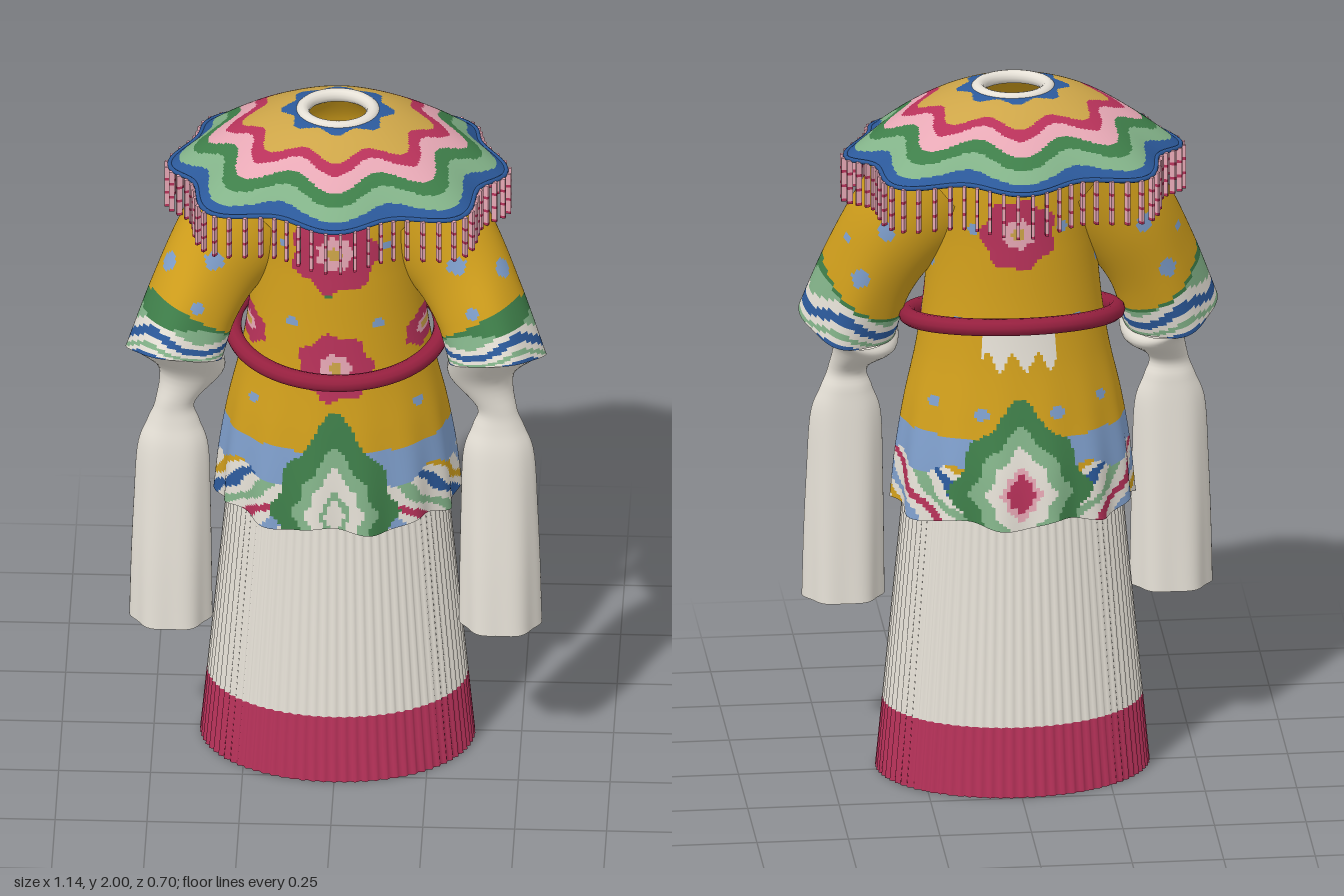
import * as THREE from 'three';
import { mergeGeometries } from 'three/addons/utils/BufferGeometryUtils.js';

const TAU = Math.PI * 2;
const { cos, sin, abs, hypot, atan2, floor, min, max } = Math;

// Catmull-Rom interpolation through evenly spaced rows of numbers, t in 0..1
function sample(rows, t) {
  const n = rows.length - 1, i = min(floor(t * n), n - 1), f = t * n - i;
  const [a, b, c, d] = [max(i - 1, 0), i, i + 1, min(i + 2, n)].map((k) => rows[k]);
  return b.map((_, k) => b[k] + 0.5 * f * (c[k] - a[k]
    + f * (2 * a[k] - 5 * b[k] + 4 * c[k] - d[k] + f * (3 * (b[k] - c[k]) + d[k] - a[k]))));
}

// Colour name of the band that value t falls in; bands = [[upper limit, colour], ...]
const band = (bands, t) => bands.find(([limit]) => t < limit)?.[1];

export function createModel() {
  const group = new THREE.Group();
  const palette = {
    mustard: 0xd2a01c, ochre: 0xcda548, crimson: 0xb8325a, cream: 0xe6e1d7, blue: 0x2c5a9c,
    lightBlue: 0x7f9fcc, darkGreen: 0x3f7f4a, lightGreen: 0x84b48a, pink: 0xe8a9b6, wine: 0x96203f,
  };
  const names = Object.keys(palette);
  const mats = names.map((name) => {
    const m = new THREE.MeshStandardMaterial({ color: palette[name], side: THREE.DoubleSide });
    m.name = name;
    return m;
  });
  const mat = (name) => mats[names.indexOf(name)];

  function add(name, geometry, material) {
    const mesh = new THREE.Mesh(geometry, material);
    mesh.name = name;
    group.add(mesh);
    return mesh;
  }

  // Closed-around cloth: point(angle, v) runs from the top (v=0) to the hem (v=1),
  // colour(centre, angle, v) names the colour of each small face.
  function cloth(name, nu, nv, point, colour) {
    const pos = [], faces = names.map(() => []), index = [];
    for (let j = 0; j <= nv; j++)
      for (let i = 0; i < nu; i++) pos.push(...point((i / nu) * TAU, j / nv));
    for (let j = 0; j < nv; j++)
      for (let i = 0; i < nu; i++) {
        const a = j * nu + i, b = j * nu + (i + 1) % nu, c = a + nu, d = b + nu;
        const A = ((i + 0.5) / nu) * TAU, v = (j + 0.5) / nv;
        faces[names.indexOf(colour(point(A, v), A, v))].push(a, b, c, b, d, c);
      }
    const g = new THREE.BufferGeometry();
    faces.forEach((f, k) => {
      if (f.length) g.addGroup(index.length, f.length, k);
      for (const x of f) index.push(x);
    });
    g.setAttribute('position', new THREE.Float32BufferAttribute(pos, 3));
    g.setIndex(index);
    g.computeVertexNormals();
    return add(name, g, mats);
  }

  // Pleated skirt with a coloured border
  cloth('pleatedSkirt', 320, 10, (A, v) => {
    const y = 1 - v, k = 1 + 0.012 * cos(A * 80);
    return [(0.278 + 0.092 * v) * k * cos(A), y, 0.016 + (0.195 + 0.069 * v) * k * sin(A)];
  }, (p, A, v) => (v > 0.8 ? 'crimson' : 'cream'));

  // Robe painting
  const flower = (x, y, cx, cy, r) => {
    const dx = x - cx, dy = y - cy;
    const d = hypot(dx, dy) / r / (1 + 0.08 * cos(7 * atan2(dy, dx)));
    return band([[0.18, 'ochre'], [0.42, 'pink'], [1, 'crimson']], d);
  };
  const frontMotif = [[0.05, 'cream'], [0.075, 'lightGreen'], [0.14, 'cream'], [0.2, 'lightGreen'], [0.3, 'darkGreen']];
  const backMotif = [[0.055, 'crimson'], [0.075, 'pink'], [0.125, 'cream'], [0.18, 'lightGreen'], [0.25, 'darkGreen']];
  const stripes = ['cream', 'lightGreen', 'cream', 'blue', 'cream', 'mustard', 'cream', 'lightBlue', 'cream', 'crimson'];
  const robeSpots = [[0.17, 1.66], [0.14, 1.42], [0.25, 1.15], [0.5, 1.5], [0.6, 1.12], [0.65, 1.35], [0.7, 1.62], [0.75, 1.1]];
  function robeColour([x, y, z], A) {
    const X = abs(x), front = z > 0.02;
    const arc = 0.27 * Math.acos(sin(A)); // distance round the body from the front
    const dy = y - (front ? 0.84 : 0.88);
    const pointed = ((X / (front ? 0.56 : 0.75)) ** 1.35 + abs(dy) ** 1.35) ** (1 / 1.35);
    const motif = band(front ? frontMotif : backMotif, pointed * (1 + 0.06 * cos(8 * atan2(dy, X) + Math.PI)));
    if (motif) return motif;
    if (y < 0.935 + 0.02 * sin(arc * 30)) return stripes[floor((y + 0.8 * arc + 0.01 * sin(y * 60)) / 0.033) % stripes.length];
    if (y < 1.03) return 'lightBlue';
    if (!front && X < 0.1 && y < 1.335 && y > 1.245 + 0.025 * sin(x * 90)) return 'cream';
    const bloom = front
      ? flower(x, y, 0, 1.645, 0.118) || flower(x, y, 0, 1.29, 0.1) || flower(X, y, 0.24, 1.355, 0.05)
      : flower(x, y, 0, 1.61, 0.1);
    if (bloom) return bloom;
    if (front && hypot(x + 0.02, y - 1.525) < 0.016) return 'darkGreen';
    return robeSpots.some(([s, h]) => hypot(arc - s, (y - h) * 1.3) < 0.02) ? 'lightBlue' : 'mustard';
  }

  // Robe body: rows of height, half width, centre z, half depth
  const robeRows = [
    [1.97, 0.085, 0.0, 0.075], [1.88, 0.2, 0.015, 0.14], [1.74, 0.238, 0.023, 0.172], [1.56, 0.23, 0.025, 0.18],
    [1.4, 0.24, 0.025, 0.187], [1.24, 0.262, 0.022, 0.2], [1.08, 0.296, 0.018, 0.222], [0.93, 0.318, 0.012, 0.243], [0.79, 0.328, 0.01, 0.254],
  ];
  cloth('robeBody', 200, 140, (A, v) => {
    const [y, a, cz, b] = sample(robeRows, v);
    const h = max(0, (v - 0.55) / 0.45) ** 2; // folds grow toward the hem
    const k = 1 + 0.03 * h * cos(A * 14 + 0.5);
    return [a * k * cos(A), y + 0.013 * h * cos(A * 7 + 1), cz + b * k * sin(A)];
  }, robeColour);

  // Sleeves: rows of centre x, y, z, half width, half depth, slope along x, slope along z
  const sleeveRows = [
    [0.2, 1.72, 0.02, 0.115, 0.125, 1.3, 0], [0.313, 1.575, 0.05, 0.11, 0.125, 0.9, 0.05],
    [0.385, 1.435, 0.095, 0.115, 0.13, 0.5, 0.2], [0.435, 1.285, 0.135, 0.132, 0.138, 0.1, 0.4],
  ];
  const underRows = [
    [0.433, 1.285, 0.134, 0.129, 0.135, 0.12, 0.4], [0.397, 1.215, 0.105, 0.088, 0.09, 0.1, 0.2],
    [0.437, 1.13, 0.137, 0.054, 0.04, 0, 0.05], [0.442, 1.07, 0.14, 0.07, 0.042, 0, 0],
    [0.443, 0.99, 0.146, 0.095, 0.053, 0, 0], [0.445, 0.82, 0.152, 0.102, 0.066, 0, 0],
    [0.447, 0.64, 0.157, 0.106, 0.077, 0, 0], [0.448, 0.455, 0.16, 0.108, 0.085, 0, 0],
  ];
  const sleeveSpots = [[0.33, 1.6, 0.17], [0.45, 1.57, 0.13], [0.38, 1.47, 0.2], [0.47, 1.56, 0], [0.35, 1.6, -0.06], [0.42, 1.45, -0.03]];
  const cuffBands = [[0.81, 'lightGreen'], [0.855, 'cream'], [0.9, 'blue'], [0.935, 'cream'], [0.965, 'lightGreen'], [0.995, 'cream'], [2, 'blue']];
  const ring = (rows, side, folds, amount) => (A, v) => {
    const [cx, cy, cz, rx, rz, kx, kz] = sample(rows, v);
    const k = 1 + amount * v * v * cos(A * folds), dx = rx * k * cos(A), dz = side * rz * k * sin(A);
    return [side * (cx + dx), cy + kx * dx + kz * dz, cz + dz];
  };
  for (const [side, label] of [[1, 'left'], [-1, 'right']]) {
    cloth(label + 'Sleeve', 90, 60, ring(sleeveRows, side, 5, 0.04), ([x, y, z], A, v) => {
      const peak = cos(A * side - 0.9), edge = v + 0.06 * peak; // the border rises to a peak at the outer front
      if (edge < 0.74)
        return sleeveSpots.some(([sx, sy, sz]) => hypot(abs(x) - sx, y - sy, z - sz) < 0.026) ? 'lightBlue' : 'mustard';
      if (edge < 0.755 + 0.11 * max(0, peak) ** 2) return 'darkGreen';
      return band(cuffBands, v + 0.035 * cos(3 * A * side - 2.7));
    });
    cloth(label + 'UnderSleeve', 64, 36, ring(underRows, side, 6, 0.05), () => 'cream');
  }

  // Sash ring, tilted up at the back
  const loop = (fn, n) => new THREE.CatmullRomCurve3(
    Array.from({ length: n }, (_, i) => new THREE.Vector3(...fn((i / n) * TAU))), true);
  add('sashRing', new THREE.TubeGeometry(
    loop((A) => [0.285 * cos(A), 1.315 - 0.045 * sin(A), 0.03 + 0.23 * sin(A)], 24), 96, 0.024, 10, true), mat('wine'));

  // Smooth domed cape with a lobed edge and nested wavy bands
  const capePoint = (A, v) => {
    const lobe = -0.04 + 0.055 * cos(8 * A) - 0.02 * cos(4 * A);
    const k = 1 + lobe * v * v;
    const y = 1.99 - 0.19 * v ** 1.55 + 0.007 * v ** 3 * (1 - cos(8 * A));
    return [(0.105 + 0.355 * v) * k * cos(A), y, (0.09 + 0.245 * v) * k * sin(A)];
  };
  const capeBands = [[0.1, 'blue'], [0.37, 'ochre'], [0.485, 'crimson'], [0.63, 'pink'], [0.76, 'darkGreen'], [0.9, 'lightGreen'], [2, 'blue']];
  cloth('cape', 192, 80, capePoint, (p, A, v) =>
    band(capeBands, v - 0.11 * (v + 0.25) * (1 - v ** 3) * cos(8 * A)));
  add('capeRim', new THREE.TubeGeometry(loop((A) => capePoint(A, 1), 96), 192, 0.007, 6, true), mat('blue'));

  // Collar ring
  const collar = add('collarRing', new THREE.TorusGeometry(0.096, 0.019, 12, 64), mat('cream'));
  collar.rotation.x = Math.PI / 2;
  collar.scale.y = 0.87;
  collar.position.y = 1.981;

  // Beaded fringe: pink lengths separated by short crimson beads
  const strands = [], beads = [];
  const count = 72;
  for (let i = 0; i < count; i++) {
    const A = ((i + 0.5) / count) * TAU, [x, y, z] = capePoint(A, 1);
    const out = new THREE.Vector2(x * 0.53, z).normalize().multiplyScalar(0.008);
    const hang = (h, top, list) => list.push(new THREE.BoxGeometry(0.009, h, 0.015)
      .rotateY(atan2(out.x, out.y)).translate(x + out.x, y - top - h / 2, z + out.y));
    for (let k = 0; k < 3; k++) {
      hang(0.034, k * 0.042, strands);
      hang(0.008, k * 0.042 + 0.034, beads);
    }
  }
  add('fringeStrands', mergeGeometries(strands), mat('pink'));
  add('fringeBeads', mergeGeometries(beads), mat('crimson'));

  return group;
}
